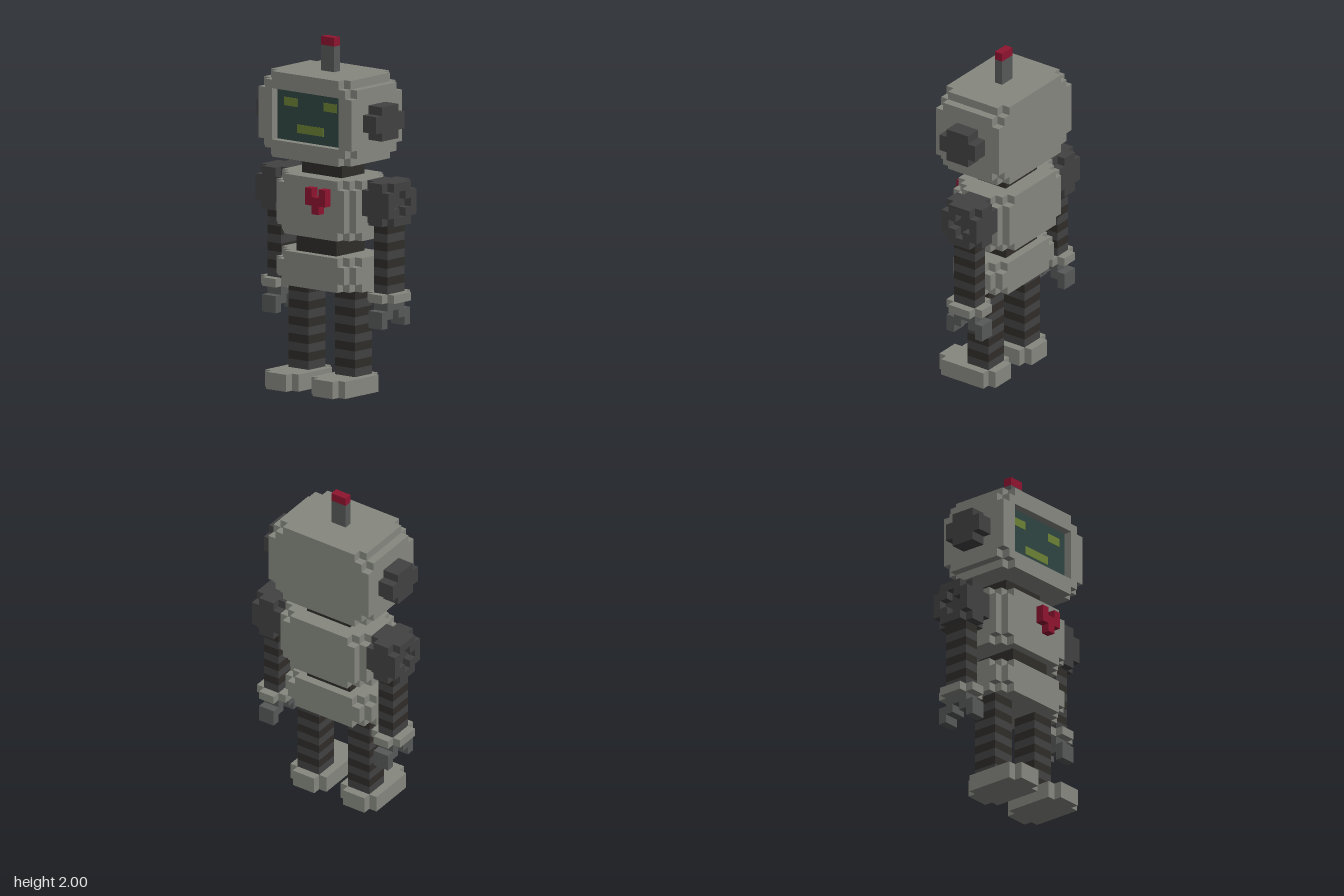
import * as THREE from 'three';

const UNIT = 2 / 41; // edge of one cube; all sizes below are in cubes

const mat = (color) => new THREE.MeshStandardMaterial({ color, flatShading: true });

export function createModel() {
  const model = new THREE.Group();
  const shell = mat(0x868880), dark = mat(0x424242), joint = mat(0x302d29), metal = mat(0x575a59);
  const red = mat(0x8f1430), glass = mat(0x304542), glow = mat(0x6c8236);

  function add(parent, name, geometry, material) {
    const mesh = new THREE.Mesh(geometry.scale(UNIT, UNIT, UNIT), material);
    mesh.name = name;
    parent.add(mesh);
  }

  function group(name) {
    const g = new THREE.Group();
    g.name = name;
    model.add(g);
    return g;
  }

  // Plain block from its lower to its upper limits
  function block(parent, name, material, [x0, x1], [y0, y1], [z0, z1]) {
    const g = new THREE.BoxGeometry(x1 - x0, y1 - y0, z1 - z0);
    g.translate((x0 + x1) / 2, (y0 + y1) / 2, (z0 + z1) / 2);
    add(parent, name, g, material);
  }

  // Rectangle whose corners are cut in n single-cube stairs
  function stairs([a0, a1], [b0, b1], n) {
    const pts = [];
    const corner = (x, y, sx, sy, reverse) => {
      const c = [new THREE.Vector2(x, y - sy * n)];
      for (let i = 1; i <= n; i++) {
        c.push(new THREE.Vector2(x - sx * i, y - sy * (n - i + 1)));
        c.push(new THREE.Vector2(x - sx * i, y - sy * (n - i)));
      }
      pts.push(...(reverse ? c.reverse() : c));
    };
    corner(a1, b1, 1, 1, false);
    corner(a0, b1, -1, 1, true);
    corner(a0, b0, -1, -1, false);
    corner(a1, b0, 1, -1, true);
    return pts;
  }

  // Slab along an axis; its outline is (x, y) for z, (x, -z) for y, (-z, y) for x
  function slab(parent, name, material, axis, [from, to], outline, hole) {
    const shape = new THREE.Shape(outline);
    if (hole) shape.holes.push(new THREE.Path(hole));
    const g = new THREE.ExtrudeGeometry(shape, { depth: to - from, bevelEnabled: false });
    g.translate(0, 0, from);
    if (axis === 'y') g.rotateX(-Math.PI / 2);
    if (axis === 'x') g.rotateY(Math.PI / 2);
    add(parent, name, g, material);
  }

  // Head, with an opening in the front layer for the screen
  const head = group('head');
  slab(head, 'headBack', shell, 'z', [-5, -4], stairs([-7, 7], [27, 37], 2));
  slab(head, 'headCore', shell, 'z', [-4, 3], stairs([-7, 7], [27, 37], 1));
  slab(head, 'screenFrame', shell, 'z', [3, 4], stairs([-7, 7], [27, 37], 2), stairs([-5, 5], [29, 35], 0));
  block(head, 'screen', glass, [-5, 5], [29, 35], [2.9, 3.02]);
  block(head, 'mouth', glow, [-2, 2], [30, 31], [2.9, 3.06]);
  block(head, 'antenna', metal, [-1, 1], [37, 40], [-1, 0]);
  block(head, 'antennaTip', red, [-1, 1], [40, 41], [-1, 0]);

  // Neck, torso, waist and pelvis
  const body = group('body');
  block(body, 'neck', joint, [-3, 3], [25, 27], [-3, 1]);
  block(body, 'waist', joint, [-3, 3], [16, 18], [-3, 2]);
  for (const [name, y0, y1, back] of [['torso', 18, 25, 5], ['pelvis', 12, 16, 4]]) {
    const outline = (n) => stairs([-6, 6], [-3, back], n);
    slab(body, name + 'Bottom', shell, 'y', [y0, y0 + 1], outline(2));
    slab(body, name, shell, 'y', [y0 + 1, y1 - 1], outline(1));
    slab(body, name + 'Top', shell, 'y', [y1 - 1, y1], outline(2));
  }

  // Heart on the chest
  const heart = [[0, 24], [0, 22], [1, 22], [1, 21], [2, 21], [2, 22], [3, 22], [3, 24], [2, 24], [2, 23], [1, 23], [1, 24]];
  slab(body, 'heart', red, 'z', [3, 4], heart.map(([x, y]) => new THREE.Vector2(x, y)));

  for (const side of [1, -1]) {
    const label = side > 0 ? 'left' : 'right';
    const span = (a, b) => (side > 0 ? [a, b] : [-b, -a]);

    // Eye and ear
    block(head, label + 'Eye', glow, span(2, 4), [33, 34], [2.9, 3.06]);
    slab(head, label + 'Ear', dark, 'x', span(7, 9), stairs([-2, 3], [30, 34], 1));

    // Shoulder, with a cross sunk into its outer face
    const arm = group(label + 'Arm');
    const joints = (n) => stairs([-1, 4], [20, 25], n);
    slab(arm, 'shoulderInner', dark, 'x', span(6, 7), joints(1));
    slab(arm, 'shoulder', dark, 'x', span(7, 9), joints(0));
    slab(arm, 'shoulderOuter', dark, 'x', span(9, 10), joints(1), stairs([0, 3], [21, 24], 1));

    // Banded arm
    for (let y = 12; y < 20; y++)
      block(arm, 'armBand', y % 2 ? joint : dark, span(7, 9), [y, y + 1], [-3, 0]);

    // Cuff and claw
    slab(arm, 'cuff', shell, 'y', [11, 12], stairs(span(6, 10), [-1, 4], 1));
    block(arm, 'palm', metal, span(7, 9), [10, 11], [-3, 0]);
    block(arm, 'frontKnuckle', metal, span(7, 9), [9, 10], [-1, 1]);
    block(arm, 'backKnuckle', metal, span(7, 9), [9, 10], [-4, -2]);
    block(arm, 'frontFinger', metal, span(7, 9), [8, 9], [0, 1]);
    block(arm, 'backFinger', metal, span(7, 9), [8, 9], [-4, -3]);

    // Banded leg and foot
    const leg = group(label + 'Leg');
    for (let y = 2; y < 12; y++)
      block(leg, 'legBand', y % 2 ? joint : dark, span(2, 5), [y, y + 1], [-2, 1]);
    slab(leg, 'foot', shell, 'y', [0, 2], stairs(span(1, 6), [-5, 3], 1));
  }
  return model;
}
